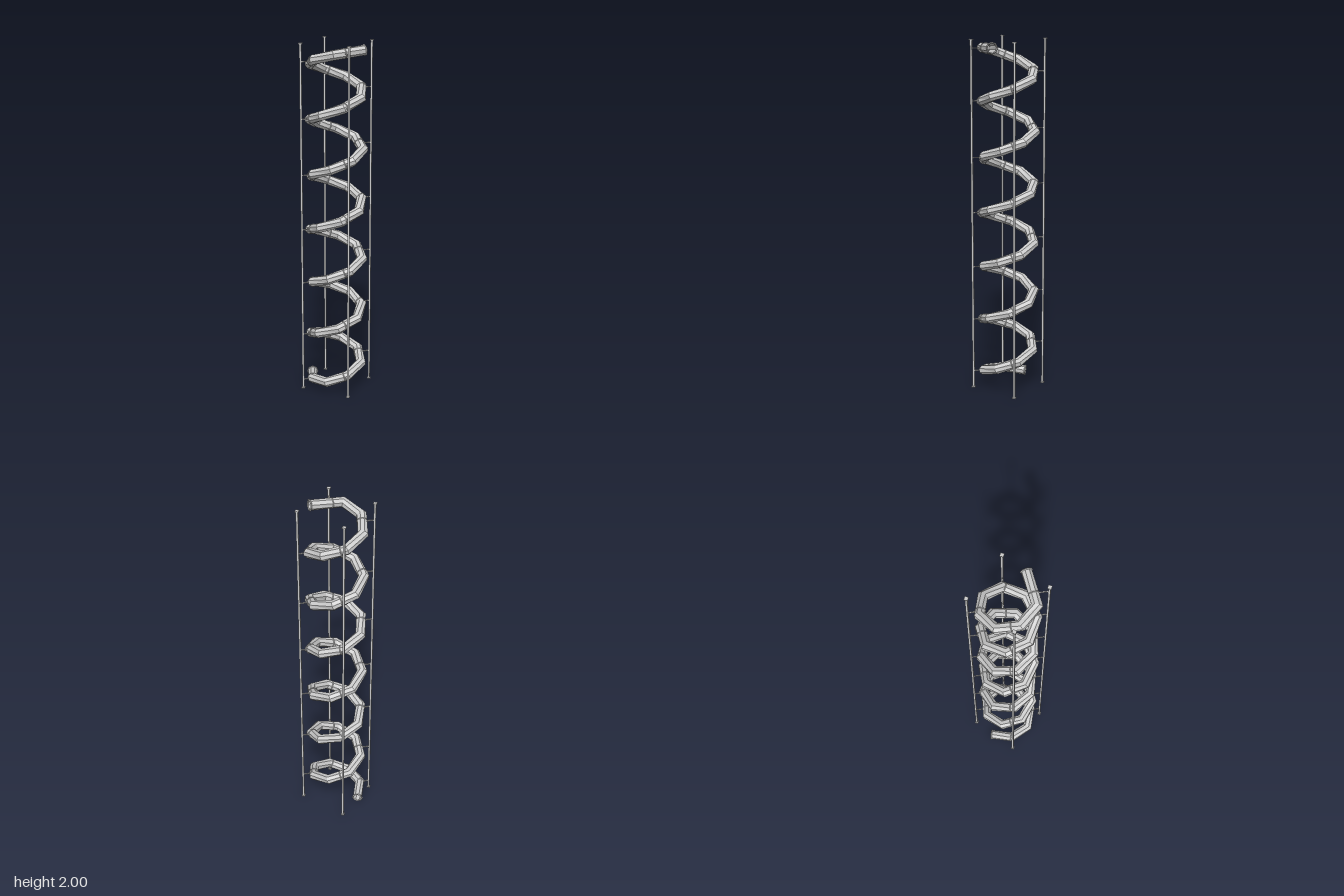
import * as THREE from 'three';

const RAD = Math.PI / 180, R = 0.146, TUBE = 0.028, SIDES = 8;
const FIRST = -23, LAST = 2323, BENDS = 47;

// Climb of the coil, levelling off at both ends (angle in degrees, from -x towards +z)
function height(a) {
  const y = 0.08 + (a - 90) / 360 * 0.3125;
  return Math.min(Math.max(y, 0.04 + 0.0003 * (a - FIRST)), 1.945 + 0.0002 * (a - 2250));
}
const radial = a => new THREE.Vector3(-Math.cos(a * RAD), 0, Math.sin(a * RAD));

function coilPoints() {
  const pts = [];
  for (let i = 0; i <= BENDS + 1; i++) {
    const a = i > BENDS ? LAST : FIRST + i * (2250 - FIRST) / BENDS;
    const r = i === 0 || i > BENDS ? 0.16 : R;
    const p = radial(a).multiplyScalar(r);
    p.y = height(a);
    pts.push({ a, p });
  }
  return pts;
}

// Straight tube segments with mitred joints
function coilGeometry(pts) {
  const pos = [], idx = [];
  pts.forEach(({ a, p }, i) => {
    const prev = pts[Math.max(i - 1, 0)].p, next = pts[Math.min(i + 1, pts.length - 1)].p;
    const dIn = p.clone().sub(prev).normalize(), dOut = next.clone().sub(p).normalize();
    const t = dIn.clone().add(dOut).normalize();
    const end = i === 0 || i === pts.length - 1;
    const out = radial(a);
    out.addScaledVector(t, -out.dot(t)).normalize();
    const up = out.clone().cross(t);
    const mitre = end ? 1 : 1 / dIn.dot(t);
    for (let j = 0; j < SIDES; j++) {
      const th = (j + 0.5) / SIDES * Math.PI * 2;
      const v = p.clone().addScaledVector(out, Math.cos(th) * TUBE * mitre)
        .addScaledVector(up, Math.sin(th) * TUBE);
      pos.push(v.x, v.y, v.z);
      if (i < pts.length - 1) {
        const k = (j + 1) % SIDES, b = i * SIDES, n = b + SIDES;
        idx.push(b + j, n + j, b + k, b + k, n + j, n + k);
      }
    }
  });
  const g = new THREE.BufferGeometry();
  g.setAttribute('position', new THREE.Float32BufferAttribute(pos, 3));
  g.setIndex(idx);
  g.computeVertexNormals();
  return g;
}

// Point on the tube's centre line seen at a given angle, with the segment direction
function centreAt(pts, a) {
  const i = Math.max(1, pts.findIndex(q => q.a >= a));
  const A = pts[i - 1].p, B = pts[i].p, d = B.clone().sub(A);
  const side = radial(a + 90);
  const s = -A.dot(side) / d.dot(side);
  return { point: A.clone().addScaledVector(d, s), dir: d.normalize() };
}

export function createModel() {
  const model = new THREE.Group();
  const mat = new THREE.MeshStandardMaterial({ color: 0xcccccc, flatShading: true, side: THREE.DoubleSide });
  const add = (name, geo, x = 0, y = 0, z = 0) => {
    const m = new THREE.Mesh(geo, mat);
    m.name = name;
    m.position.set(x, y, z);
    model.add(m);
    return m;
  };
  const zAxis = new THREE.Vector3(0, 0, 1);
  const pts = coilPoints();
  add('spiralTube', coilGeometry(pts));

  // Collars around the two open ends
  for (const [i, j] of [[0, 1], [pts.length - 1, pts.length - 2]]) {
    const p = pts[i].p, d = pts[j].p.clone().sub(p).normalize();
    const collar = add('endCollar', new THREE.TorusGeometry(0.029, 0.0045, 4, SIDES), p.x, p.y, p.z);
    collar.quaternion.setFromUnitVectors(zAxis, d);
  }

  // Four square posts with base and top plates
  const postR = 0.202, firstPost = 25;
  for (let k = 0; k < 4; k++) {
    const p = radial(firstPost + k * 90).multiplyScalar(postR);
    add('post', new THREE.BoxGeometry(0.011, 1.99, 0.011), p.x, 1, p.z);
    add('basePlate', new THREE.BoxGeometry(0.02, 0.006, 0.02), p.x, 0.003, p.z);
    add('topPlate', new THREE.BoxGeometry(0.02, 0.006, 0.02), p.x, 1.995, p.z);
  }

  // Strap and arm wherever the coil passes a post
  for (let a = firstPost; a < LAST; a += 90) {
    const { point, dir } = centreAt(pts, a);
    const strap = add('strap', new THREE.TorusGeometry(TUBE, 0.0025, 4, SIDES), point.x, point.y, point.z);
    strap.quaternion.setFromUnitVectors(zAxis, dir);
    const inner = point.length() && Math.hypot(point.x, point.z) + TUBE - 0.006;
    const mid = radial(a).multiplyScalar((inner + postR) / 2);
    const arm = add('arm', new THREE.BoxGeometry(0.006, 0.006, postR - inner), mid.x, point.y, mid.z);
    arm.quaternion.setFromUnitVectors(zAxis, radial(a));
  }
  return model;
}
